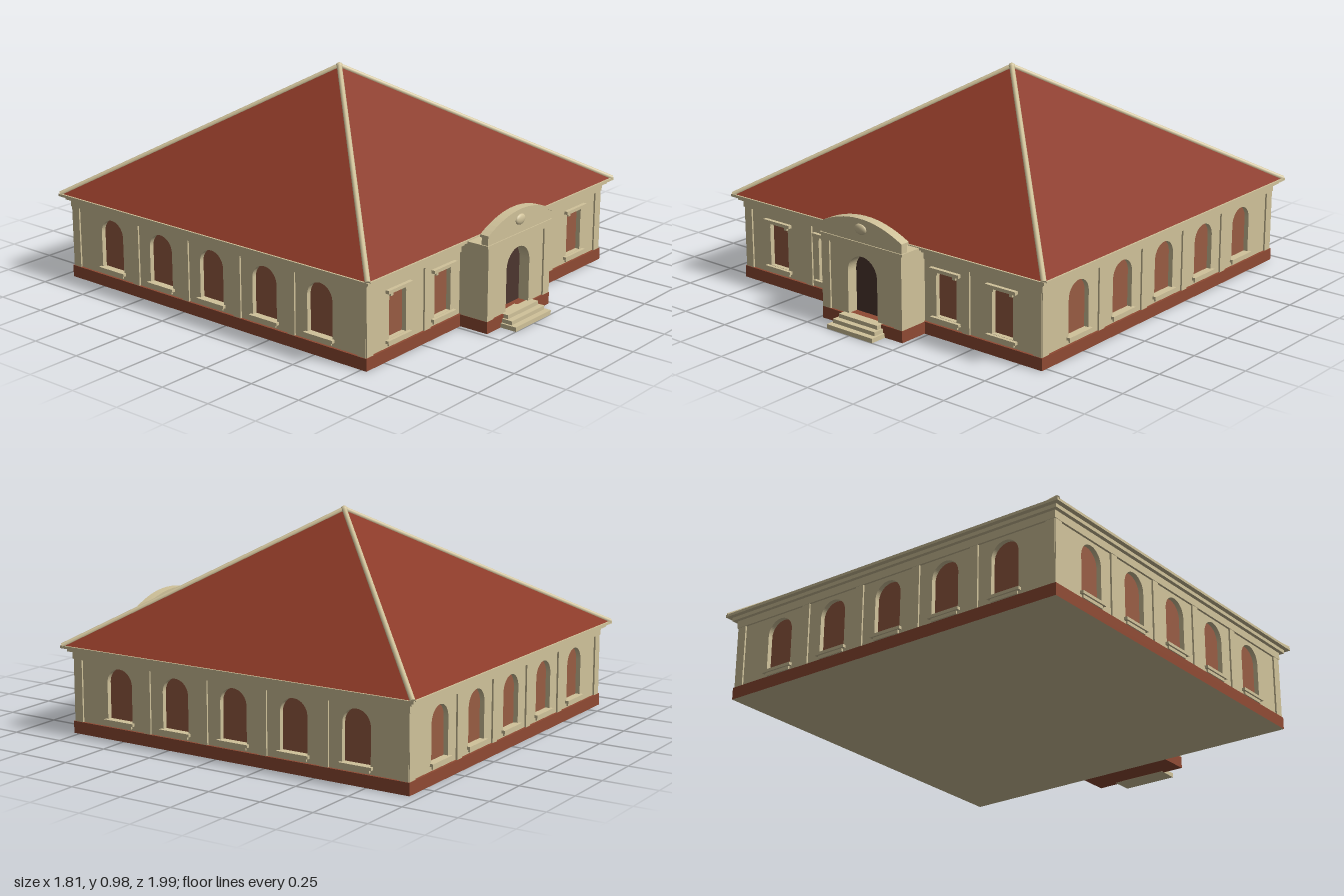
import * as THREE from 'three';

const CZ = -0.0875; // centre of the main block in z
const HALF = 0.855; // half width of the wall faces
const TOP = 0.385; // top of the walls
const BASE = 0.055; // top of the plinth

const mat = (name, color) => {
  const m = new THREE.MeshStandardMaterial({ color });
  m.name = name;
  return m;
};

export function createModel() {
  const stucco = mat('cream stucco', 0xd0c29a);
  const tile = mat('red roof tile', 0x8a3826);
  const brick = mat('brick plinth', 0x8f4a33);
  const shutter = mat('terracotta window', 0x985c43);
  const dark = mat('dark door', 0x4c362f);

  const model = new THREE.Group();
  model.name = 'hall';

  const add = (parent, name, geometry, material, x = 0, y = 0, z = 0) => {
    const mesh = new THREE.Mesh(geometry, material);
    mesh.name = name;
    mesh.position.set(x, y, z);
    parent.add(mesh);
    return mesh;
  };
  // Box given by its extents
  const box = (parent, name, material, x0, x1, y0, y1, z0, z1) =>
    add(parent, name, new THREE.BoxGeometry(x1 - x0, y1 - y0, z1 - z0), material,
      (x0 + x1) / 2, (y0 + y1) / 2, (z0 + z1) / 2);

  const rect = (x0, x1, y0, y1, Kind = THREE.Shape) => {
    const s = new Kind();
    s.moveTo(x0, y0);
    s.lineTo(x1, y0);
    s.lineTo(x1, y1);
    s.lineTo(x0, y1);
    s.closePath();
    return s;
  };
  // Opening with a semicircular head
  const arch = (x, r, y0, y1) => {
    const s = new THREE.Path();
    s.moveTo(x - r, y0);
    s.lineTo(x + r, y0);
    s.lineTo(x + r, y1 - r);
    s.absarc(x, y1 - r, r, 0, Math.PI, false);
    s.closePath();
    return s;
  };
  const extrude = (shape, depth) =>
    new THREE.ExtrudeGeometry(shape, { depth, bevelEnabled: false, curveSegments: 16 });

  // One side of the building; the wall face lies on local z = 0
  function facade(name, windows, pilasters, arched) {
    const g = new THREE.Group();
    g.name = name;
    const wall = rect(-HALF + 0.002, HALF - 0.002, 0.04, TOP);
    for (const x of windows) {
      wall.holes.push(arched ? arch(x, 0.068, 0.085, 0.32)
        : rect(x - 0.056, x + 0.056, 0.09, 0.293, THREE.Path));
      box(g, 'windowPane', shutter, x - 0.075, x + 0.075, 0.075, 0.33, -0.03, -0.022);
      box(g, 'windowSill', stucco, x - 0.079, x + 0.079, 0.076, 0.089, -0.02, 0.016);
      box(g, 'sillApron', stucco, x - 0.066, x + 0.066, 0.062, 0.077, -0.01, 0.008);
      if (!arched) {
        box(g, 'windowLintel', stucco, x - 0.08, x + 0.08, 0.295, 0.31, -0.01, 0.018);
        for (const s of [-1, 1])
          box(g, 'lintelBracket', stucco, x + s * 0.05 - 0.008, x + s * 0.05 + 0.008, 0.28, 0.297, -0.02, 0.01);
      }
    }
    add(g, 'wall', extrude(wall, 0.04), stucco, 0, 0, -0.04);
    for (const x of pilasters)
      box(g, 'pilaster', stucco, x - 0.02, x + 0.02, 0.05, 0.338, -0.01, 0.008);
    for (const s of [-1, 1])
      box(g, 'cornerPilaster', stucco, s * 0.838 - 0.022, s * 0.838 + 0.022, 0.05, 0.338, -0.01, 0.008);
    model.add(g);
    return g;
  }

  const bays = [-0.61, -0.305, 0, 0.305, 0.61];
  const piers = [-0.4575, -0.1525, 0.1525, 0.4575];
  const front = facade('frontFacade', [-0.65, -0.345, 0.345, 0.65], [-0.4575, 0.4575], false);
  front.position.set(0, 0, CZ + HALF);
  ['leftFacade', 'backFacade', 'rightFacade'].forEach((name, i) => {
    const side = facade(name, bays, piers, true);
    const a = (i + 1) * Math.PI / 2;
    side.rotation.y = a;
    side.position.set(Math.sin(a) * HALF, 0, CZ + Math.cos(a) * HALF);
  });

  // Square slab around the whole block
  const slab = (name, material, half, y0, y1) =>
    box(model, name, material, -half, half, y0, y1, CZ - half, CZ + half);
  slab('plinth', [brick, brick, brick, stucco, brick, brick], 0.866, 0, BASE);
  slab('frieze', stucco, 0.865, 0.338, 0.376);
  slab('cornice', stucco, 0.882, 0.372, 0.391);
  slab('eaves', stucco, 0.903, 0.388, 0.4);

  // Pyramid roof
  const eaveY = 0.398, apexY = 0.966, eave = 0.898;
  const cone = new THREE.ConeGeometry(eave * Math.SQRT2, apexY - eaveY, 4, 1, true);
  cone.rotateY(Math.PI / 4);
  const roof = cone.toNonIndexed();
  roof.computeVertexNormals();
  add(model, 'roof', roof, tile, 0, (eaveY + apexY) / 2, CZ);

  // Hip ridges and the cap at their meeting point
  const apex = new THREE.Vector3(0, apexY, CZ);
  for (const sx of [-1, 1]) for (const sz of [-1, 1]) {
    const foot = new THREE.Vector3(sx * 0.897, eaveY, CZ + sz * 0.897);
    const dir = apex.clone().sub(foot);
    const ridge = add(model, 'hipRidge', new THREE.CylinderGeometry(0.012, 0.012, dir.length(), 8), stucco);
    ridge.position.copy(foot).addScaledVector(dir, 0.5);
    ridge.quaternion.setFromUnitVectors(new THREE.Vector3(0, 1, 0), dir.normalize());
  }
  add(model, 'ridgeCap', new THREE.SphereGeometry(0.017, 12, 8), stucco, 0, apexY - 0.002, CZ);

  // Entrance porch
  const porch = new THREE.Group();
  porch.name = 'porch';
  model.add(porch);
  const porchWall = rect(-0.225, 0.225, 0.05, 0.385);
  porchWall.holes.push(arch(0, 0.085, BASE, 0.33));
  add(porch, 'porchWall', extrude(porchWall, 0.152), stucco, 0, 0, 0.76);
  box(porch, 'porchPlinth', brick, -0.232, 0.232, 0.001, BASE, 0.75, 0.921);
  box(porch, 'door', dark, -0.1, 0.1, BASE, 0.34, 0.852, 0.86);
  for (const s of [-1, 1])
    box(porch, 'porchPilaster', stucco, s * 0.208 - 0.023, s * 0.208 + 0.023, 0.05, 0.37, 0.78, 0.92);
  box(porch, 'porchArchitrave', stucco, -0.231, 0.231, 0.365, 0.388, 0.78, 0.92);
  box(porch, 'porchRoof', stucco, -0.238, 0.238, 0.384, 0.396, 0.78, 0.922);

  // Curved pediment with a raised rim and an oval boss
  const curve = (s, r0, y0, y1) => s.quadraticCurveTo(0, 2 * y1 - y0, -r0, y0);
  const gable = new THREE.Shape();
  gable.moveTo(-0.232, 0.39);
  gable.lineTo(0.232, 0.39);
  gable.lineTo(0.232, 0.435);
  curve(gable, 0.232, 0.435, 0.5);
  gable.closePath();
  add(porch, 'pediment', extrude(gable, 0.033), stucco, 0, 0, 0.884);
  const rim = new THREE.Shape();
  rim.moveTo(0.238, 0.43);
  rim.lineTo(0.238, 0.442);
  curve(rim, 0.238, 0.442, 0.504);
  rim.lineTo(-0.238, 0.43);
  rim.quadraticCurveTo(0, 0.554, 0.238, 0.43);
  add(porch, 'pedimentRim', extrude(rim, 0.044), stucco, 0, 0, 0.879);
  add(porch, 'ovalBoss', new THREE.SphereGeometry(1, 24, 12), stucco, 0, 0.455, 0.917)
    .scale.set(0.034, 0.024, 0.012);

  // Entrance steps
  [[0.132, 0.02, 1], [0.122, 0.038, 0.972], [0.112, 0.056, 0.945]].forEach(([w, h, z]) =>
    box(model, 'step', stucco, -w, w, 0, h, 0.9, z));

  return model;
}
